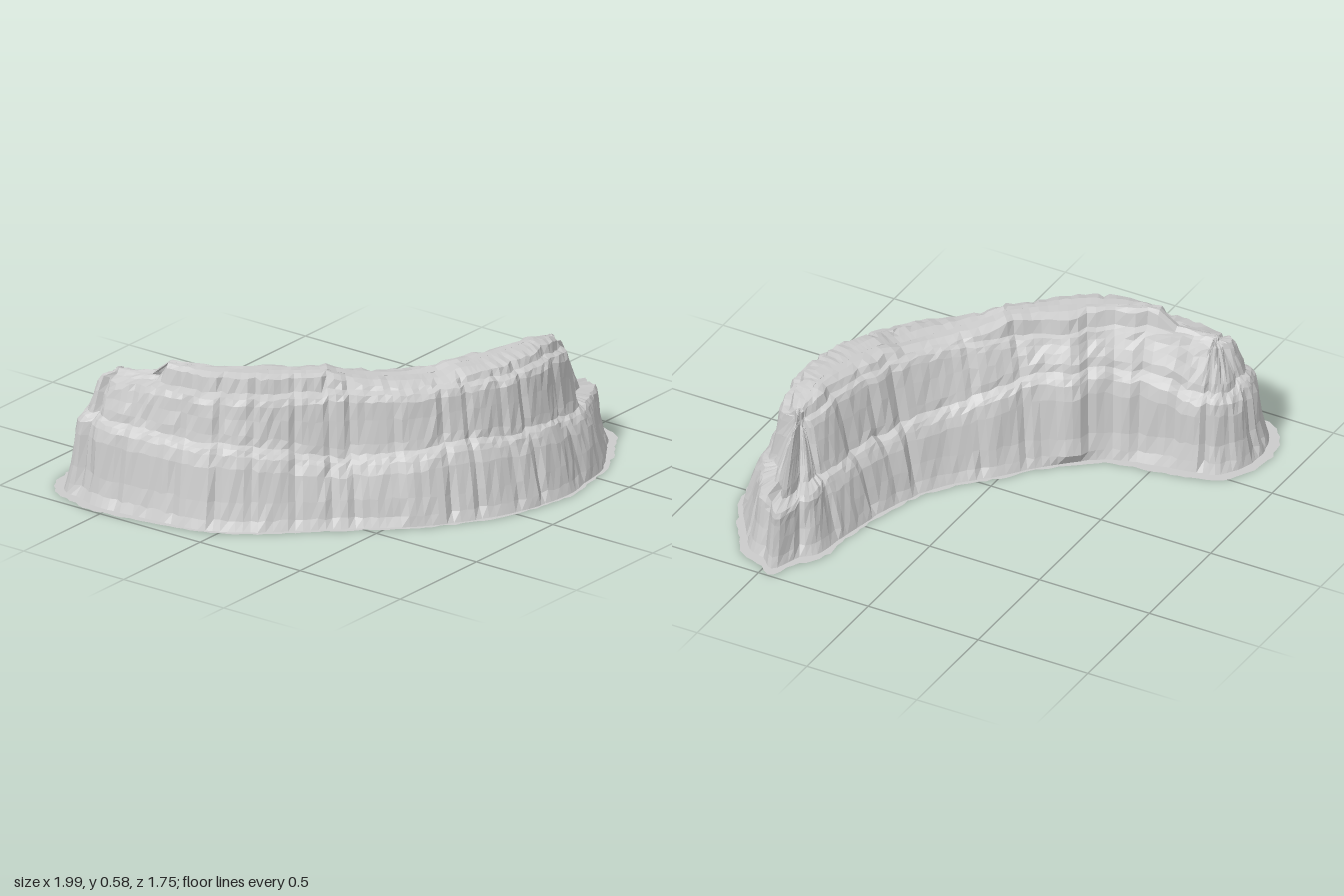
import * as THREE from 'three';

// Small seeded random generator
function seeded(seed) {
  let s = seed;
  return () => {
    s = (s * 16807) % 2147483647;
    return s / 2147483647;
  };
}

// Piecewise linear lookup through [position, value] knots
function ramp(knots, u) {
  for (let i = 1; i < knots.length; i++) {
    const [a, va] = knots[i - 1], [b, vb] = knots[i];
    if (u <= b) return va + (vb - va) * Math.max(0, (u - a) / (b - a));
  }
  return knots[knots.length - 1][1];
}

const curveOf = (pts, closed) =>
  new THREE.CatmullRomCurve3(pts.map(([x, z]) => new THREE.Vector3(x, 0, z)), closed, 'centripetal');

// Ground outline of the curved cliff, as x, z
const OUTLINE = [
  [-0.70, -0.88], [-0.92, -0.80], [-0.97, -0.66], [-1.00, -0.55], [-0.96, -0.30], [-0.91, -0.05],
  [-0.82, 0.11], [-0.68, 0.26], [-0.52, 0.43], [-0.36, 0.60], [-0.17, 0.74], [0.02, 0.83],
  [0.30, 0.88], [0.45, 0.85], [0.60, 0.82], [0.80, 0.71], [0.92, 0.62], [0.95, 0.53], [1.00, 0.46],
  [0.87, 0.39], [0.80, 0.33], [0.55, 0.30], [0.30, 0.24], [0.10, 0.14], [-0.05, 0.00],
  [-0.22, -0.14], [-0.36, -0.32], [-0.40, -0.50], [-0.43, -0.65], [-0.47, -0.78],
];
// Middle line along the plateau
const SPINE = [
  [-0.71, -0.62], [-0.69, -0.40], [-0.60, -0.17], [-0.43, 0.08],
  [-0.18, 0.32], [0.08, 0.49], [0.36, 0.56], [0.57, 0.55],
];
// Heights along the spine
const TOP = [[0, 0.505], [0.105, 0.515], [0.115, 0.578], [0.45, 0.575], [0.48, 0.555], [0.57, 0.53],
  [0.68, 0.523], [0.72, 0.548], [0.93, 0.552], [1, 0.52]];
const RIM = [[0, 0.475], [0.1, 0.5], [0.9, 0.505], [1, 0.475]];
const LEDGE_OUTER = [[0, 0.31], [0.3, 0.30], [0.5, 0.25], [0.7, 0.28], [1, 0.23]];
const LEDGE_INNER = [[0, 0.31], [0.1, 0.35], [0.4, 0.36], [0.6, 0.29], [1, 0.23]];

const COLUMNS = 190;

// Each column holds its foot, its nearest spine point and its groove depth
function makeColumns() {
  const rand = seeded(41);
  const feet = curveOf(OUTLINE, true).getSpacedPoints(COLUMNS).slice(0, COLUMNS);
  const spine = curveOf(SPINE, false).getSpacedPoints(200);
  let block = 0, ledgeShift = 0, rimShift = 0, left = 0;
  return feet.map((foot) => {
    let best = 0;
    spine.forEach((p, k) => {
      if (p.distanceToSquared(foot) < spine[best].distanceToSquared(foot)) best = k;
    });
    // blocks of rock several columns wide, parted by narrow cracks
    let crack = 0;
    if (left-- <= 0) {
      left = 2 + Math.floor(rand() * 7);
      block = (rand() - 0.5) * 0.016;
      ledgeShift = (rand() - 0.5) * 0.03;
      rimShift = (rand() - 0.5) * 0.016;
      crack = 0.012;
    }
    const centre = spine[best];
    const ahead = spine[Math.min(best + 1, 200)].clone().sub(spine[Math.max(best - 1, 0)]);
    const side = foot.clone().sub(centre);
    const inner = ahead.z * side.x - ahead.x * side.z > 0;
    // how far the column belongs to the east or north tip
    const east = THREE.MathUtils.smoothstep(foot.x, 0.5, 0.95);
    const north = THREE.MathUtils.smoothstep(-foot.z, 0.1, 0.6);
    return { foot, centre, u: best / 200, inner, east, north, groove: block + crack, ledgeShift, rimShift,
      jitter: Array.from({ length: 16 }, () => rand() - 0.5) };
  });
}

// Moves a column's foot toward the spine by a distance
function inward(c, d, y) {
  const t = THREE.MathUtils.clamp(d / c.foot.distanceTo(c.centre), 0, 0.93);
  const p = c.foot.clone().lerp(c.centre, t);
  p.y = y;
  return p;
}

// Width of the flat ground strip, wider at both tips
const skirtWidth = (c) => 0.022 + 0.028 * Math.max(c.east, c.north);

// Cliff profile from foot to crest for one column
function rockProfile(c) {
  const ledge = ramp(c.inner ? LEDGE_INNER : LEDGE_OUTER, c.u) + c.ledgeShift;
  const rim = ramp(RIM, c.u) + c.rimShift;
  const top = Math.max(ramp(TOP, c.u) + c.rimShift * 0.4, rim + 0.02);
  // the upper wall leans back further at the tips and on the hollow side
  const lower = 1 + 0.45 * c.east + 0.08 * c.north;
  const upper = 1 + 0.85 * c.east + 0.1 * c.north + (c.inner ? 0.1 * (1 - c.east) : 0);
  const foot = skirtWidth(c);
  const shelf = c.inner ? 0 : ramp([[0, 0.025], [0.42, 0.025], [0.55, 0.01]], c.u);
  // leaning pillar on the hollow side
  const pillar = c.inner ? 0.04 * Math.exp(-(((c.foot.x + 0.29) / 0.05) ** 2)) : 0;
  const rows = [
    [foot, 0], [foot + 0.016, 0.04], [foot + 0.034, 0.11], [foot * 0.5 + 0.072, ledge * 0.78],
    [0.1 + 0.01 * c.north, ledge - 0.02], [0.115 + 0.012 * c.north, ledge], [0.138 * lower, ledge + 0.015],
    [0.147 * lower, ledge + 0.05], [0.162 * (lower + upper) / 2, ledge + (rim - ledge) * 0.6],
    [0.173 * upper, rim - 0.025], [0.185 * upper, rim],
    [0.205 * upper + shelf, rim + 0.008], [0.218 * upper + shelf, top - 0.01],
  ];
  const pts = rows.map(([d, y], j) => {
    const rough = j ? c.groove + c.jitter[j] * 0.008 : c.groove * 0.3;
    const bulge = j ? pillar : 0;
    return inward(c, d + rough - bulge, j ? y + c.jitter[15 - j] * 0.01 : 0);
  });
  // plateau folds over to the middle line
  const mid = pts[pts.length - 1].clone().lerp(c.centre, 0.5);
  mid.y = top + c.jitter[13] * 0.006;
  const crest = c.centre.clone();
  crest.y = ramp(TOP, c.u);
  return [...pts, mid, crest];
}

// Flat strip of ground around the foot, with a ragged edge
function skirtProfile(c) {
  return [inward(c, (c.jitter[3] + 0.5) * 0.014, 0), inward(c, skirtWidth(c) + c.groove * 0.3, 0)];
}

// Joins the column profiles into a closed band
function bandGeometry(profiles) {
  const n = profiles.length, m = profiles[0].length, index = [];
  for (let i = 0; i < n; i++) {
    const k = (i + 1) % n;
    for (let j = 0; j < m - 1; j++) {
      const a = i * m + j, b = k * m + j;
      index.push(a, b, b + 1, a, b + 1, a + 1);
    }
  }
  const geo = new THREE.BufferGeometry().setFromPoints(profiles.flat());
  geo.setIndex(index);
  geo.computeVertexNormals();
  return geo;
}

export function createModel() {
  const material = new THREE.MeshStandardMaterial({
    color: 0xcccccc, flatShading: true, side: THREE.DoubleSide,
  });
  const columns = makeColumns();
  const model = new THREE.Group();
  model.name = 'curvedCliff';
  const parts = { rockWall: rockProfile, groundSkirt: skirtProfile };
  for (const [name, profile] of Object.entries(parts)) {
    const mesh = new THREE.Mesh(bandGeometry(columns.map(profile)), material);
    mesh.name = name;
    model.add(mesh);
  }
  return model;
}
